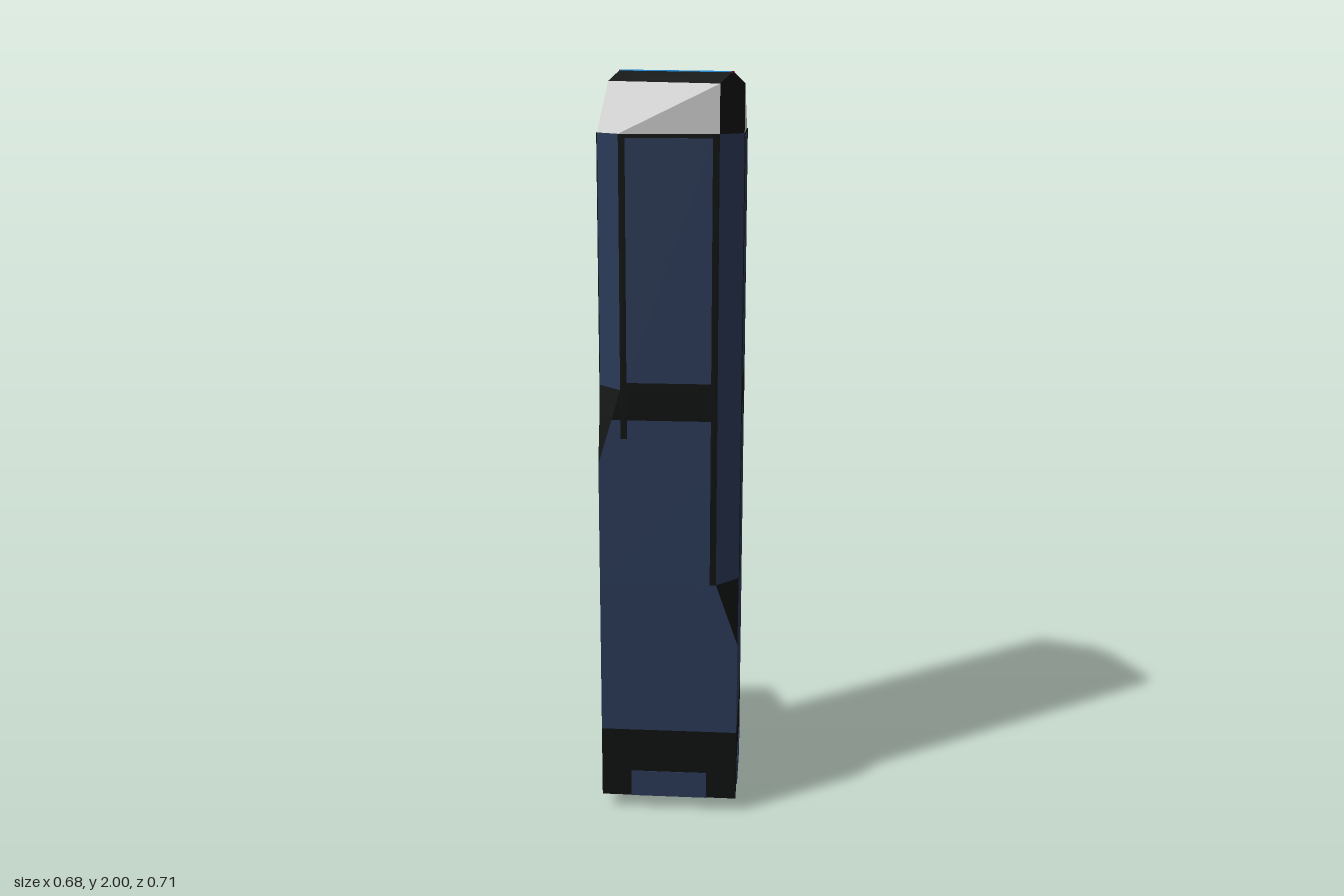
import * as THREE from 'three';

const mat = (color) => new THREE.MeshStandardMaterial({ color, side: THREE.DoubleSide, flatShading: true });

export function createModel() {
  const group = new THREE.Group();
  const black = mat(0x0f1211), blue = mat(0x2b3a58), grey = mat(0xcccccc);
  const glow = mat(0x1b90e0), red = mat(0xd02020);

  // Convex polygons, each a list of [x, y, z], become one named mesh.
  function part(name, material, polygons) {
    const pos = [];
    for (const p of polygons)
      for (let i = 1; i < p.length - 1; i++) pos.push(...p[0], ...p[i], ...p[i + 1]);
    const g = new THREE.BufferGeometry();
    g.setAttribute('position', new THREE.Float32BufferAttribute(pos, 3));
    g.computeVertexNormals();
    const m = new THREE.Mesh(g, material);
    m.name = name;
    group.add(m);
  }
  const lerp = (a, b, t) => a.map((v, i) => v + (b[i] - v) * t);
  const at = (p, y) => [p[0], y, p[1]];
  const wall = (a, b, y0, y1) => [at(a, y0), at(b, y0), at(b, y1), at(a, y1)];

  // Thin slab lying on the wall a-b, between fractions t0 and t1 of its length.
  function panel(name, material, a, b, t0, t1, y0, y1) {
    const len = Math.hypot(b[0] - a[0], b[1] - a[1]);
    const m = new THREE.Mesh(new THREE.BoxGeometry(len * (t1 - t0), y1 - y0, 0.004), material);
    const c = lerp(a, b, (t0 + t1) / 2);
    m.position.set(c[0], (y0 + y1) / 2, c[1]);
    m.rotation.y = -Math.atan2(b[1] - a[1], b[0] - a[0]);
    m.name = name;
    group.add(m);
  }

  // Tower plan: left, front, right and back corners as [x, z].
  const corners = [[-0.34, 0.074], [-0.098, 0.355], [0.182, 0.114], [-0.06, -0.167]];
  const CUT = 0.16;
  const ramp = (y, a, b) => CUT * THREE.MathUtils.clamp((y - a) / (b - a), 0, 1);
  const ring = (y) => corners.flatMap((c, i) => {
    const cut = i % 2 ? ramp(y, 0.5, 0.67) : ramp(y, 1.0, 1.2);
    return [lerp(c, corners[(i + 3) % 4], cut), lerp(c, corners[(i + 1) % 4], cut)];
  });

  // Tower shell: four walls and four corner cuts, open underneath.
  const levels = [0.04, 0.24, 0.5, 0.67, 1.0, 1.12, 1.2, 1.85];
  const dark = [], glass = [];
  for (let j = 0; j < levels.length - 1; j++) {
    const y0 = levels[j], y1 = levels[j + 1], r0 = ring(y0), r1 = ring(y1);
    for (let k = 0; k < 8; k++) {
      const n = (k + 1) % 8, isCut = k % 2 === 0;
      const start = k % 4 === 0 ? 1.0 : 0.5, full = k % 4 === 0 ? 1.2 : 0.67;
      if (isCut && y1 <= start) continue;
      const isBlue = isCut ? y0 >= full : y0 >= 0.24 && y1 <= 1.12;
      (isBlue ? glass : dark).push([at(r0[k], y0), at(r0[n], y0), at(r1[n], y1), at(r1[k], y1)]);
    }
  }
  part('towerFrame', black, dark);
  part('towerGlass', blue, glass);

  // Upper windows, corner trims and entrances on each wall.
  corners.forEach((a, i) => {
    const b = corners[(i + 1) % 4], e = CUT + 0.045;
    panel('upperWindow', blue, a, b, e, 1 - e, 1.22, 1.84);
    const aIsSide = i % 2 === 0;
    panel('cornerTrim', black, a, b, CUT, e, aIsSide ? 1.07 : 0.67, 1.85);
    panel('cornerTrim', black, a, b, 1 - e, 1 - CUT, aIsSide ? 0.67 : 1.07, 1.85);
    if (i !== 2) panel('entrance', blue, a, b, 0.22, 0.78, 0.04, 0.115);
  });

  // Gabled roof: dark ridge strip, pale slopes, dark gable ends.
  const t = ring(1.85), EAVE = 1.85, EDGE = 1.971;
  const mid = (p, q) => at(lerp(p, q, 0.5), 2);
  const front = mid(t[2], t[3]), back = mid(t[6], t[7]);
  part('roofSlopes', grey, [
    [at(t[0], EAVE), at(t[1], EAVE), at(t[2], EDGE), at(t[7], EDGE)],
    [at(t[4], EAVE), at(t[5], EAVE), at(t[6], EDGE), at(t[3], EDGE)],
    [at(t[1], EAVE), at(t[2], EAVE), at(t[2], EDGE)],
    [at(t[3], EAVE), at(t[4], EAVE), at(t[3], EDGE)],
    [at(t[5], EAVE), at(t[6], EAVE), at(t[6], EDGE)],
    [at(t[7], EAVE), at(t[0], EAVE), at(t[7], EDGE)],
  ]);
  part('ridgeAndGables', black, [
    [at(t[7], EDGE), at(t[2], EDGE), front, back],
    [at(t[3], EDGE), at(t[6], EDGE), back, front],
    [at(t[2], EAVE), at(t[3], EAVE), at(t[3], EDGE), front, at(t[2], EDGE)],
    [at(t[6], EAVE), at(t[7], EAVE), at(t[7], EDGE), back, at(t[6], EDGE)],
  ]);
  const f = [front[0], front[2]], b = [back[0], back[2]];
  const ridgeLight = new THREE.Group();
  ridgeLight.name = 'ridgeLight';
  const length = Math.hypot(f[0] - b[0], f[1] - b[1]);
  ridgeLight.add(new THREE.Mesh(new THREE.BoxGeometry(0.008, 0.006, length - 0.006), glow));
  for (const s of [-1, 1]) {
    const tip = new THREE.Mesh(new THREE.BoxGeometry(0.008, 0.006, 0.003), red);
    tip.position.z = s * (length - 0.003) / 2;
    ridgeLight.add(tip);
  }
  ridgeLight.position.set((f[0] + b[0]) / 2, 1.997, (f[1] + b[1]) / 2);
  ridgeLight.rotation.y = Math.atan2(f[0] - b[0], f[1] - b[1]);
  group.add(ridgeLight);

  // Annexe: dark walls open underneath, with a set-back upper tier.
  const low = [[0.158, 0.085], [0.24, 0.012], [0.337, -0.16], [0.165, -0.357], [-0.06, -0.167]];
  const high = [low[0], low[1], low[2], [0.191, -0.327], [-0.034, -0.137]];
  const sides = (p, y0, y1) => [0, 1, 2, 3].map((i) => wall(p[i], p[i + 1], y0, y1));
  part('annexeWalls', black, [...sides(low, 0, 0.24), low.map((p) => at(p, 0.24))]);
  part('annexeTier', black, [...sides(high, 0.24, 0.29), high.map((p) => at(p, 0.29))]);
  for (let i = 0; i < 3; i++) panel('annexeBand', blue, high[i], high[i + 1], 0, 1, 0.247, 0.286);
  panel('annexeDoor', blue, low[0], low[1], 0.2, 0.88, 0, 0.095);
  panel('annexeDoor', blue, low[1], low[2], 0.06, 0.74, 0, 0.095);
  panel('annexeDoor', blue, low[3], low[4], 0.07, 0.84, 0, 0.085);
  panel('annexeWindow', blue, low[3], low[4], 0.02, 0.98, 0.1, 0.23);

  // Small roof fittings on the annexe.
  const box = new THREE.Mesh(new THREE.BoxGeometry(0.06, 0.016, 0.025), black);
  box.name = 'roofUnit';
  box.position.set(0.255, 0.298, -0.18);
  box.rotation.y = -0.86;
  const post = new THREE.Mesh(new THREE.BoxGeometry(0.008, 0.04, 0.008), black);
  post.name = 'roofPost';
  post.position.set(0.12, 0.31, -0.1);
  group.add(box, post);

  return group;
}
